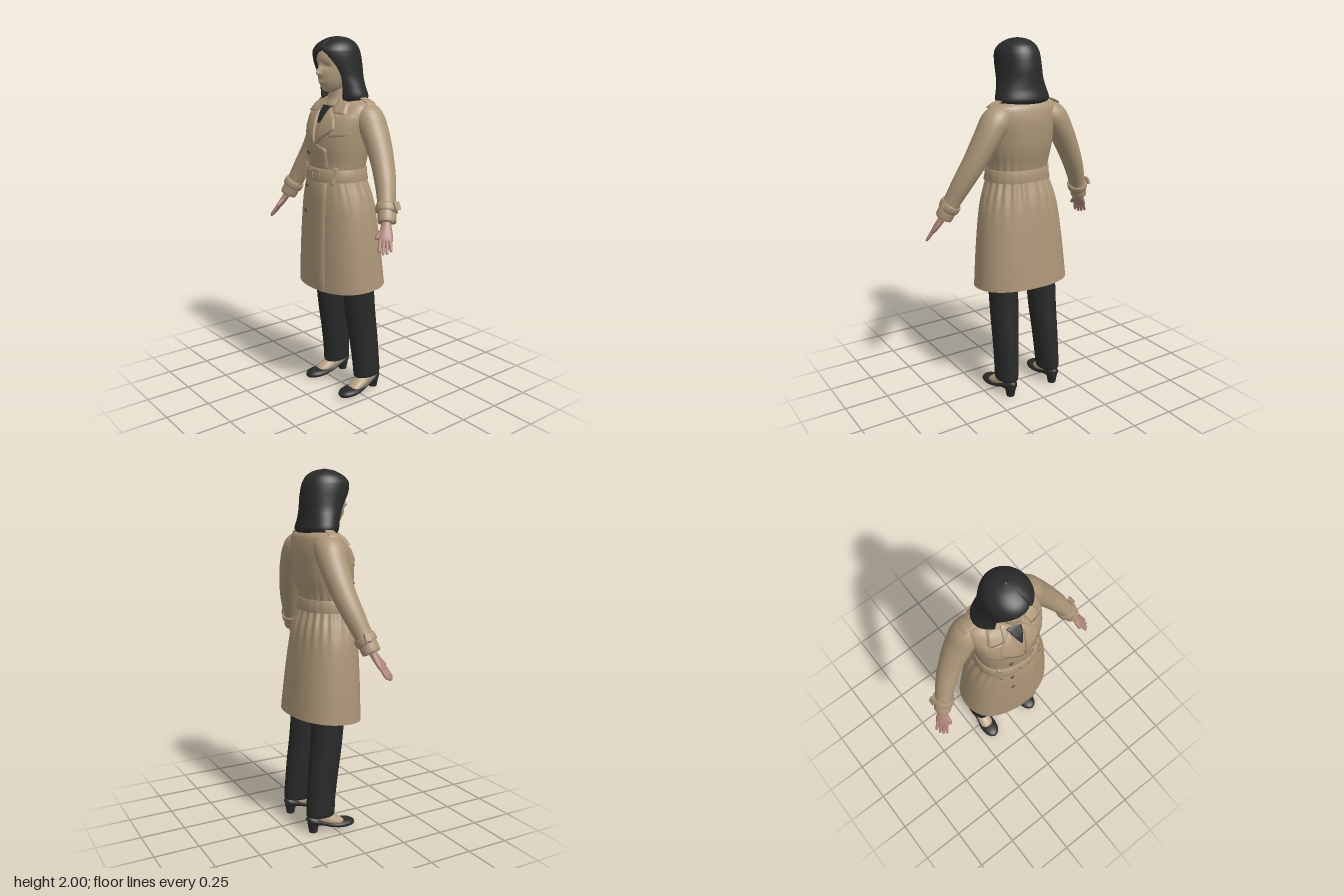
import * as THREE from 'three';

const V = (x, y, z) => new THREE.Vector3(x, y, z);
const mat = (name, color, side = THREE.FrontSide) => {
  const m = new THREE.MeshStandardMaterial({ color, side });
  m.name = name;
  return m;
};

// Smooth surface from fn(u, v); outside is du x dv
function grid(fn, nu, nv, closed = true) {
  const pos = [], idx = [], cols = closed ? nu : nu + 1;
  for (let j = 0; j <= nv; j++)
    for (let i = 0; i < cols; i++) pos.push(...fn(i / nu, j / nv).toArray());
  for (let j = 0; j < nv; j++)
    for (let i = 0; i < nu; i++) {
      const k = (i + 1) % cols, a = j * cols + i, b = j * cols + k, c = a + cols, d = b + cols;
      idx.push(a, b, c, b, d, c);
    }
  const g = new THREE.BufferGeometry();
  g.setAttribute('position', new THREE.Float32BufferAttribute(pos, 3));
  g.setIndex(idx);
  g.computeVertexNormals();
  return g;
}

// Catmull-Rom through table rows, v from 0 to 1
function at(rows, v) {
  const t = v * (rows.length - 1), i = Math.min(Math.floor(t), rows.length - 2), f = t - i;
  const r = k => rows[Math.max(0, Math.min(rows.length - 1, k))];
  return rows[0].map((_, c) => {
    const [a, b, d, e] = [r(i - 1)[c], r(i)[c], r(i + 1)[c], r(i + 2)[c]];
    return b + 0.5 * f * (d - a + f * (2 * a - 5 * b + 4 * d - e + f * (3 * (b - d) + e - a)));
  });
}
function rowAtY(rows, y) {
  let lo = 0, hi = 1;
  for (let k = 0; k < 24; k++) {
    const m = (lo + hi) / 2;
    if (at(rows, m)[0] < y) lo = m; else hi = m;
  }
  return at(rows, lo);
}

// Superellipse section from a row [y, halfWidth, zFront, zBack]
const spow = (c, n) => Math.sign(c) * Math.abs(c) ** (2 / n);
const section = ([y, hw, zf, zb], a, n = 2, grow = 0) => V((hw + grow) * spow(Math.cos(a), n), y,
  (zf + zb) / 2 + ((zf - zb) / 2 + grow) * spow(Math.sin(a), n));

// Tapered tube: rows of [x, y, z, radius along ref, radius across]
function limb(rows, ref, nu = 20, nv = 24) {
  return grid((u, v) => {
    const r = at(rows, v), p = at(rows, Math.max(0, v - 0.01)), q = at(rows, Math.min(1, v + 0.01));
    const t = V(q[0] - p[0], q[1] - p[1], q[2] - p[2]).normalize();
    const a = ref.clone().addScaledVector(t, -ref.dot(t)).normalize(), b = t.clone().cross(a);
    const w = u * Math.PI * 2;
    return V(r[0], r[1], r[2]).addScaledVector(a, r[3] * Math.cos(w)).addScaledVector(b, r[4] * Math.sin(w));
  }, nu, nv);
}

const COAT = [[0.65, 0.275, 0.198, -0.2], [0.85, 0.258, 0.195, -0.18], [1.05, 0.235, 0.188, -0.155],
  [1.15, 0.212, 0.185, -0.137], [1.23, 0.184, 0.178, -0.113], [1.28, 0.17, 0.168, -0.1],
  [1.34, 0.175, 0.164, -0.108], [1.42, 0.188, 0.17, -0.128], [1.5, 0.197, 0.165, -0.138],
  [1.58, 0.205, 0.135, -0.14], [1.64, 0.2, 0.085, -0.13], [1.667, 0.165, 0.055, -0.115],
  [1.688, 0.1, 0.048, -0.09], [1.7, 0.068, 0.045, -0.065]];
const HEAD = [[1.712, 0.012, 0.09, 0.05], [1.72, 0.034, 0.112, 0.01], [1.74, 0.054, 0.124, -0.03],
  [1.77, 0.07, 0.136, -0.06], [1.81, 0.082, 0.14, -0.08], [1.85, 0.089, 0.138, -0.09],
  [1.89, 0.091, 0.142, -0.095], [1.93, 0.084, 0.13, -0.09], [1.965, 0.055, 0.09, -0.06], [1.98, 0.005, 0.02, 0.01]];
// Hair rows also hold the x of the right and left edges of the face opening
const HAIR = [[1.668, 0.142, 0.078, -0.118, -0.09, 0.09], [1.69, 0.156, 0.085, -0.13, -0.092, 0.092],
  [1.74, 0.143, 0.095, -0.118, -0.095, 0.097], [1.79, 0.129, 0.12, -0.114, -0.098, 0.1],
  [1.84, 0.124, 0.145, -0.113, -0.09, 0.095], [1.88, 0.122, 0.157, -0.108, -0.066, 0.08],
  [1.91, 0.119, 0.162, -0.102, -0.025, 0.06], [1.935, 0.113, 0.158, -0.093, 0.03, 0.034],
  [1.965, 0.093, 0.13, -0.073, 0.027, 0.028], [1.99, 0.055, 0.08, -0.03, 0.015, 0.015],
  [2.0, 0.004, 0.03, 0.022, 0.001, 0.001]];

// Coat surface with gathers around the waist and a dipping front hem
function coatPoint(u, row, grow = 0) {
  const a = -u * Math.PI * 2, y = row[0], fade = Math.exp(-(((y - 1.22) / 0.12) ** 2));
  const side = 0.5 - 0.5 * Math.sin(a);
  const p = section(row, a, 2.25, grow + 0.006 * fade * side * Math.sin(a * 22) * (grow ? 0.3 : 1));
  p.y -= 0.075 * p.z * Math.max(0, 1 - (y - 0.65) / 0.3);
  return p;
}
function frontZ(x, y) {
  const [, hw, zf, zb] = rowAtY(COAT, y);
  return (zf + zb) / 2 + (zf - zb) / 2 * Math.max(0, 1 - Math.abs(x / hw) ** 2.25) ** (1 / 2.25);
}
// Cloth layer laid on the coat front; corners run anticlockwise from bottom left
function panel(c, off = 0.008, ramp = false) {
  const inset = t => Math.min(1, Math.max(0, (t - 0.1) / 0.8));
  return grid((u, v) => {
    const s = inset(u), t = inset(v), edge = u === 0 || u === 1 || v === 0 || v === 1;
    const mix = k => (c[0][k] * (1 - s) + c[1][k] * s) * (1 - t) + (c[3][k] * (1 - s) + c[2][k] * s) * t;
    const x = mix(0), y = mix(1);
    return V(x, y, frontZ(x, y) + (edge ? -0.004 : ramp ? off * s : off));
  }, 10, 10, false);
}
function mirrored(g) {
  const m = g.clone().scale(-1, 1, 1), i = m.index.array;
  for (let k = 0; k < i.length; k += 3) [i[k], i[k + 1]] = [i[k + 1], i[k]];
  return m;
}

export function createModel() {
  const root = new THREE.Group();
  root.name = 'womanInTrenchCoat';
  const coat = mat('coat beige', 0xab9577, THREE.DoubleSide), skin = mat('face skin', 0xb5a081);
  const handSkin = mat('hand skin', 0xae857a), hair = mat('hair black', 0x2a2a2b, THREE.DoubleSide);
  const black = mat('trouser black', 0x29292a, THREE.DoubleSide), brown = mat('button brown', 0x6b5b48);
  const add = (name, g, m) => {
    const mesh = new THREE.Mesh(g, m);
    mesh.name = name;
    root.add(mesh);
  };
  const pair = (name, g, m) => {
    add(name + 'Left', g, m);
    add(name + 'Right', mirrored(g), m);
  };

  // Coat body, lining and belt
  add('coatBody', grid((u, v) => coatPoint(u, at(COAT, v)), 160, 80), coat);
  add('coatLining', grid((u, v) => coatPoint(u, rowAtY(COAT, 0.655 + v * 0.45), -0.01), 60, 8), black);
  const beltProfile = [[1.245, 0.001], [1.247, 0.01], [1.28, 0.012], [1.311, 0.01], [1.313, 0.001]];
  add('belt', grid((u, v) => {
    const [y, g] = beltProfile[Math.round(v * 4)];
    return coatPoint(u, rowAtY(COAT, y), g);
  }, 80, 4), coat);
  const frame = new THREE.Shape([[-0.034, -0.03], [0.034, -0.03], [0.034, 0.03], [-0.034, 0.03]].map(p => new THREE.Vector2(...p)));
  frame.holes.push(new THREE.Path([[-0.024, -0.02], [-0.024, 0.02], [0.024, 0.02], [0.024, -0.02]].map(p => new THREE.Vector2(...p))));
  add('beltBuckle', new THREE.ExtrudeGeometry(frame, { depth: 0.008, bevelEnabled: false }).translate(0.005, 1.275, 0.176), coat);
  pair('beltLoop', panel([[0.122, 1.235], [0.136, 1.235], [0.136, 1.325], [0.122, 1.325]], 0.017), coat);

  // Overlapping front, lapels, collar, shoulder flaps
  add('frontOverlapSkirt', panel([[-0.16, 0.645], [0.095, 0.638], [0.088, 1.24], [-0.1, 1.24]], 0.01, true), coat);
  add('frontOverlapChest', panel([[-0.1, 1.315], [0.085, 1.315], [0.078, 1.42], [-0.06, 1.47]], 0.008, true), coat);
  pair('stormFlap', panel([[0.095, 1.485], [0.182, 1.495], [0.185, 1.6], [0.09, 1.6]], 0.006), coat);
  pair('lapel', panel([[0.004, 1.44], [0.122, 1.53], [0.108, 1.578], [0.036, 1.635]], 0.012), coat);
  pair('collarWing', panel([[0.082, 1.612], [0.155, 1.605], [0.13, 1.662], [0.056, 1.682]], 0.018), coat);
  add('shirt', panel([[-0.004, 1.555], [0.004, 1.555], [0.042, 1.642], [-0.042, 1.642]], 0.009), black);
  pair('epaulette', limb([[0.1, 1.69, -0.02, 0.02, 0.004], [0.15, 1.683, -0.03, 0.026, 0.006],
    [0.2, 1.664, -0.035, 0.028, 0.006], [0.215, 1.652, -0.035, 0.026, 0.003]], V(0, 0, 1)), coat);
  for (const y of [1.39, 1.21, 1.07])
    add('button', new THREE.CylinderGeometry(0.011, 0.011, 0.008, 16).rotateX(Math.PI / 2)
      .translate(-0.072, y, frontZ(-0.072, y) + 0.006), brown);

  // Sleeves, cuff straps and strap buckles
  pair('sleeve', limb([[0.11, 1.6, -0.04, 0.06, 0.065], [0.175, 1.582, -0.043, 0.078, 0.082],
    [0.235, 1.5, -0.045, 0.068, 0.078], [0.305, 1.375, -0.032, 0.06, 0.066], [0.365, 1.265, -0.005, 0.053, 0.058],
    [0.41, 1.17, 0.025, 0.045, 0.05], [0.447, 1.085, 0.052, 0.045, 0.05], [0.446, 1.088, 0.051, 0.03, 0.03]], V(1, 0, 0), 28, 42), coat);
  pair('cuffStrap', limb([[0.413, 1.162, 0.027, 0.044, 0.046], [0.414, 1.16, 0.028, 0.055, 0.059],
    [0.427, 1.13, 0.038, 0.055, 0.058], [0.428, 1.128, 0.039, 0.042, 0.044]], V(1, 0, 0), 28, 9), coat);
  pair('cuffBuckle', new THREE.BoxGeometry(0.014, 0.042, 0.034).rotateZ(0.45).translate(0.474, 1.168, 0.012), coat);

  // Hands: palm, four fingers, thumb reaching forward
  const d = V(0.42, -0.82, 0.38).normalize(), w = V(-0.6, 0.1, 0.75);
  w.addScaledVector(d, -w.dot(d)).normalize();
  pair('palm', limb([[0.437, 1.11, 0.045, 0.024, 0.02], [0.455, 1.07, 0.064, 0.027, 0.019],
    [0.475, 1.03, 0.084, 0.036, 0.017], [0.49, 1.0, 0.099, 0.035, 0.012], [0.495, 0.99, 0.104, 0.005, 0.003]], w), handSkin);
  const digit = (name, base, tip, r) => {
    const rows = [[0, 1], [0.5, 0.98], [0.88, 0.75], [1, 0.05]].map(([t, s]) =>
      [...base.clone().lerp(tip, t).toArray(), r * s, r * s]);
    pair(name, limb(rows, w, 10, 10), handSkin);
  };
  [0.058, 0.073, 0.077, 0.067].forEach((len, i) => {
    const k = (i - 1.5) * 0.0165, base = V(0.488, 1.005, 0.098).addScaledVector(w, k);
    digit('finger', base, base.clone().addScaledVector(d, len + 0.004).addScaledVector(w, k * 0.25), 0.0092);
  });
  const root1 = V(0.462, 1.055, 0.07).addScaledVector(w, 0.014);
  digit('thumb', root1, root1.clone().addScaledVector(w, 0.04).addScaledVector(d, 0.062), 0.012);

  // Head with nose, eye sockets and lips, and the neck
  add('head', grid((u, v) => {
    const p = section(at(HEAD, v), -u * Math.PI * 2, 2.1), { x, y } = p;
    if (p.z > 0.05) {
      const nose = Math.max(0, y > 1.81 ? 1 - (y - 1.81) / 0.06 : 1 - (1.81 - y) / 0.02);
      p.z += 0.028 * nose * Math.exp(-((x / 0.014) ** 2))
        - 0.011 * Math.exp(-(((Math.abs(x) - 0.035) / 0.018) ** 2) - ((y - 1.848) / 0.014) ** 2)
        + 0.007 * Math.exp(-((x / 0.024) ** 2) - ((y - 1.765) / 0.01) ** 2);
    }
    return p;
  }, 112, 72), skin);
  const NECK = [[1.61, 0.085, 0.1, -0.06], [1.65, 0.07, 0.084, -0.058], [1.69, 0.06, 0.068, -0.055], [1.78, 0.056, 0.07, -0.055]];
  add('neck', grid((u, v) => section(at(NECK, v), -u * Math.PI * 2), 32, 12), skin);

  // Shoulder-length hair: outer shell folding inward at the face opening
  add('hair', grid((u, v) => {
    const r = at(HAIR, v), ang = x => Math.acos(Math.max(-1, Math.min(1, x / r[1])));
    const aL = ang(r[5]), aR = ang(r[4]) - Math.PI * 2, outer = u < 0.6;
    const t = outer ? u / 0.59 : 1 - (u - 0.6) / 0.39;
    const p = section(r, aL + (aR - aL) * Math.min(1, Math.max(0, t)));
    const zc = (r[2] + r[3]) / 2;
    return outer ? p : V(p.x * 0.84, p.y, zc + (p.z - zc) * 0.84);
  }, 120, 60), hair);

  // Trouser legs
  pair('trouserLeg', limb([[0.143, 0.098, -0.077, 0.05, 0.07], [0.143, 0.1, -0.077, 0.06, 0.084],
    [0.139, 0.2, -0.07, 0.065, 0.085], [0.135, 0.33, -0.056, 0.07, 0.088], [0.13, 0.48, -0.036, 0.077, 0.091],
    [0.126, 0.65, -0.02, 0.083, 0.095], [0.11, 0.85, 0, 0.1, 0.115], [0.1, 1.05, 0.01, 0.1, 0.12]], V(1, 0, 0), 28, 40), black);

  // Feet and heeled shoes
  pair('foot', limb([[0.143, 0.16, -0.09, 0.036, 0.042], [0.145, 0.1, -0.085, 0.038, 0.045],
    [0.15, 0.065, -0.04, 0.04, 0.036], [0.157, 0.04, 0.03, 0.04, 0.025], [0.16, 0.025, 0.07, 0.02, 0.01]], V(1, 0, 0)), skin);
  const shoe = [[-0.157, 0.008, 0.058, 0.08], [-0.15, 0.028, 0.045, 0.098], [-0.12, 0.041, 0.038, 0.096],
    [-0.075, 0.043, 0.034, 0.072], [-0.02, 0.046, 0.015, 0.05], [0.04, 0.054, 0.002, 0.05],
    [0.09, 0.047, 0.001, 0.047], [0.12, 0.028, 0.003, 0.034], [0.132, 0.003, 0.012, 0.018]]
    .map(([z, hw, b, t]) => [0.153 + z * 0.07, (b + t) / 2, z, hw, (t - b) / 2]);
  pair('shoe', limb(shoe, V(1, 0, 0), 24, 36), black);
  pair('heel', new THREE.CylinderGeometry(0.034, 0.023, 0.06, 20).translate(0.145, 0.03, -0.124), black);

  return root;
}
